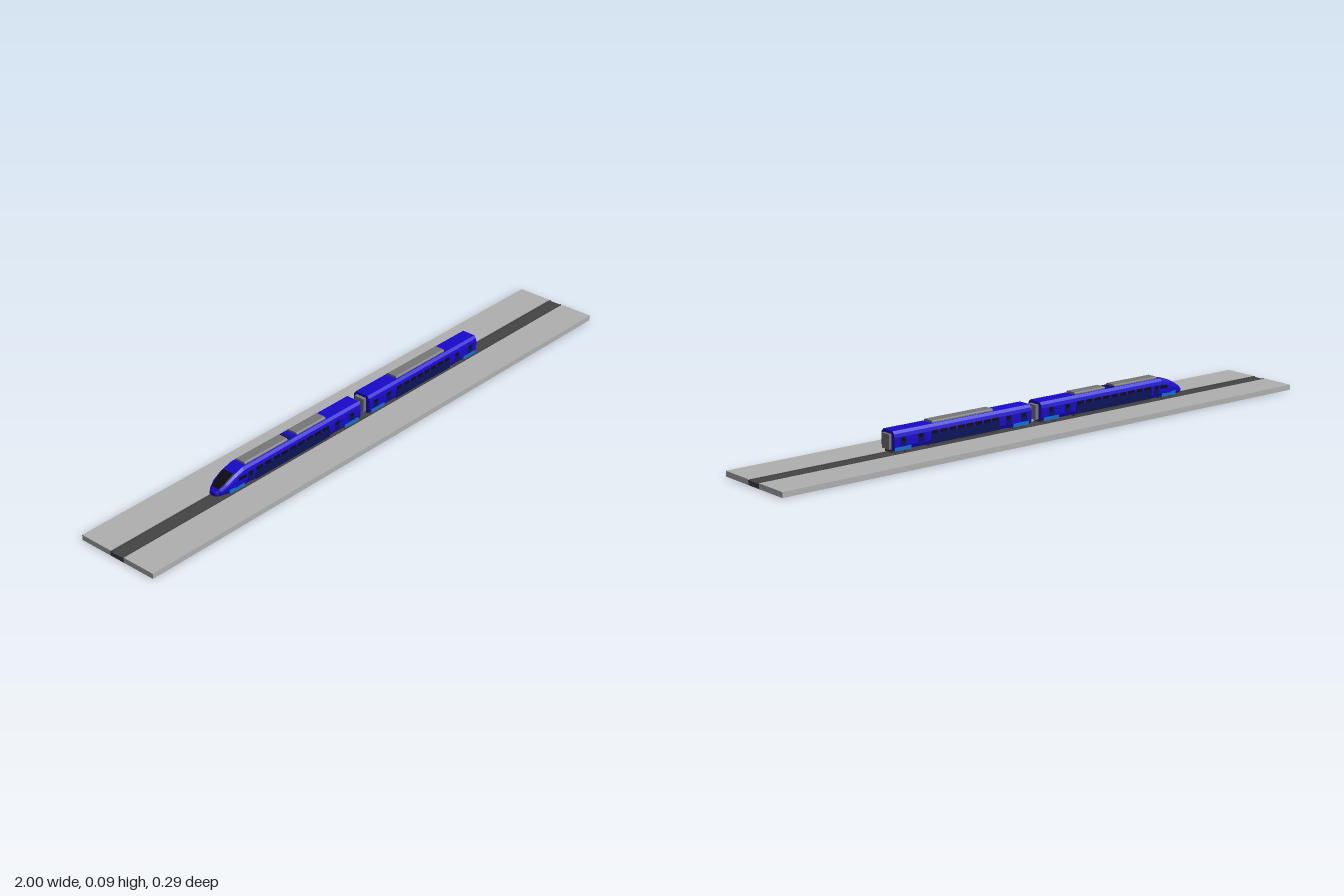
import * as THREE from 'three';

const mat = (color) => new THREE.MeshStandardMaterial({ color, flatShading: true });
const BLUE = mat(0x1a08cc), NAVY = mat(0x0a1458), CYAN = mat(0x1070d8), BLACK = mat(0x0c0c10);
const GREY = mat(0x777777), DARK = mat(0x444444), SLAB = mat(0xb0b0b0), RED = mat(0xaa2222);

function add(parent, name, geo, material, x = 0, y = 0, z = 0) {
  const m = new THREE.Mesh(geo, material);
  m.name = name;
  m.position.set(x, y, z);
  parent.add(m);
  return m;
}

// Box given by its limits
function block(parent, name, material, x0, x1, y0, y1, z0, z1) {
  return add(parent, name, new THREE.BoxGeometry(x1 - x0, y1 - y0, z1 - z0), material,
    (x0 + x1) / 2, (y0 + y1) / 2, (z0 + z1) / 2);
}

// Skins cross-sections [x, halfWidth, bottom, top] of the carriage profile along x
function loft(sections, shape) {
  const pos = [], idx = [];
  const n = shape.length * 2;
  for (const [x, w, b, t] of sections) {
    const side = shape.map(([u, v]) => [u * w, b + v * (t - b)]);
    for (const [z, y] of side) pos.push(x, y, z);
    for (const [z, y] of [...side].reverse()) pos.push(x, y, -z);
  }
  const last = (sections.length - 1) * n;
  for (let s = 0; s < last; s += n) {
    for (let i = 0; i < n; i++) {
      const j = (i + 1) % n;
      idx.push(s + i, s + n + i, s + n + j, s + i, s + n + j, s + j);
    }
  }
  for (let i = 1; i < n - 1; i++) {
    idx.push(0, i, i + 1, last, last + i + 1, last + i);
  }
  const g = new THREE.BufferGeometry();
  g.setAttribute('position', new THREE.Float32BufferAttribute(pos, 3));
  g.setIndex(idx);
  const flat = g.toNonIndexed();
  flat.computeVertexNormals();
  return flat;
}

const BODY = [[0.82, 0], [1, 0.2], [1, 0.68], [0.93, 0.86], [0.72, 1]];
const POD = [[1, 0], [1, 0.6], [0.8, 1]];
const W = 0.032, FLOOR = 0.029, ROOF = 0.088;

// Bogie with frame, side skirts and four wheels
function bogie(parent, x) {
  const g = new THREE.Group();
  g.name = 'bogie';
  g.position.x = x;
  parent.add(g);
  block(g, 'bogieFrame', DARK, -0.03, 0.03, 0.021, 0.031, -0.018, 0.018);
  for (const s of [-1, 1]) {
    add(g, 'bogieSkirt', new THREE.BoxGeometry(0.06, 0.013, 0.006), CYAN, 0, 0.0345, s * 0.0285);
    for (const dx of [-0.018, 0.018]) {
      const wheel = new THREE.CylinderGeometry(0.008, 0.008, 0.004, 12).rotateX(Math.PI / 2);
      add(g, 'wheel', wheel, DARK, dx, 0.025, s * 0.021);
    }
  }
}

// Side band, windows and doors, mirrored on both flanks
function flanks(parent, band, windows, doors) {
  for (const s of [-1, 1]) {
    const z = s * W;
    const strip = (name, m, x0, x1, y0, y1, d) =>
      block(parent, name, m, x0, x1, y0, y1, z - d, z + d);
    strip('sideBand', NAVY, band[0], band[1], 0.03, 0.059, 0.0006);
    const pitch = (windows[1] - windows[0]) / windows[2];
    for (let i = 0; i < windows[2]; i++) {
      const x = windows[0] + i * pitch;
      strip('window', BLACK, x + 0.004, x + pitch - 0.004, 0.0595, 0.0695, 0.0009);
    }
    for (const x of doors) {
      strip('door', NAVY, x - 0.011, x + 0.011, 0.042, 0.068, 0.0005);
      strip('doorWindow', BLACK, x - 0.006, x + 0.006, 0.056, 0.067, 0.0009);
    }
  }
  // Equipment under the floor
  block(parent, 'underframe', DARK, band[0], band[1], 0.022, 0.031, -0.024, 0.024);
}

// Raised roof equipment
function roofPod(parent, x0, x1) {
  const s = [x0, x1].map((x) => [x, 0.02, 0.086, 0.095]);
  add(parent, 'roofPod', loft(s, POD), GREY);
}

function gangway(parent, x0, x1) {
  block(parent, 'gangway', GREY, x0, x1, 0.033, 0.079, -0.018, 0.018);
}

function leadCar() {
  const g = new THREE.Group();
  g.name = 'leadCar';
  const nose = [
    [-0.625, 0.012, FLOOR, 0.04], [-0.612, 0.022, FLOOR, 0.049], [-0.592, 0.029, FLOOR, 0.061],
    [-0.558, W, FLOOR, 0.078], [-0.525, W, FLOOR, ROOF],
  ];
  add(g, 'body', loft([...nose, [-0.02, W, FLOOR, ROOF]], BODY), BLUE);
  // Windscreen follows the nose, slightly proud of it
  const glass = nose.slice(1, 4).map(([x, w, , t]) => [x, w * 0.68, t - 0.006, t + 0.0012]);
  add(g, 'windscreen', loft(glass, [[1, 0], [1, 0.85], [0.9, 1]]), BLACK);
  for (const s of [-1, 1]) {
    block(g, 'cabWindow', BLACK, -0.548, -0.518, 0.056, 0.066, s * W - 0.0008, s * W + 0.0008);
    block(g, 'headlight', RED, -0.622, -0.616, 0.034, 0.037, s * 0.013 - 0.003, s * 0.013 + 0.003);
  }
  flanks(g, [-0.48, -0.16], [-0.48, -0.16, 9], [-0.5, -0.125, -0.06]);
  roofPod(g, -0.51, -0.33);
  roofPod(g, -0.29, -0.165);
  block(g, 'pantographBase', NAVY, -0.33, -0.31, 0.086, 0.0895, -0.02, 0.02);
  gangway(g, -0.021, -0.008);
  bogie(g, -0.555);
  bogie(g, -0.06);
  return g;
}

function trailerCar() {
  const g = new THREE.Group();
  g.name = 'trailerCar';
  add(g, 'body', loft([[0.02, W, FLOOR, ROOF], [0.537, W, FLOOR, ROOF]], BODY), BLUE);
  flanks(g, [0.145, 0.405], [0.145, 0.405, 8], [0.05, 0.11, 0.44, 0.505]);
  roofPod(g, 0.16, 0.39);
  gangway(g, 0.008, 0.021);
  gangway(g, 0.536, 0.546);
  bogie(g, 0.06);
  bogie(g, 0.505);
  return g;
}

function track() {
  const g = new THREE.Group();
  g.name = 'track';
  block(g, 'trackBed', DARK, -1, 1, 0, 0.0145, -0.027, 0.027);
  for (const s of [-1, 1]) {
    add(g, 'groundSlab', new THREE.BoxGeometry(2, 0.017, 0.116), SLAB, 0, 0.0085, s * 0.085);
    add(g, 'rail', new THREE.BoxGeometry(2, 0.003, 0.004), DARK, 0, 0.0155, s * 0.021);
  }
  return g;
}

export function createModel() {
  const model = new THREE.Group();
  model.name = 'trainOnTrack';
  model.add(track(), leadCar(), trailerCar());
  return model;
}
